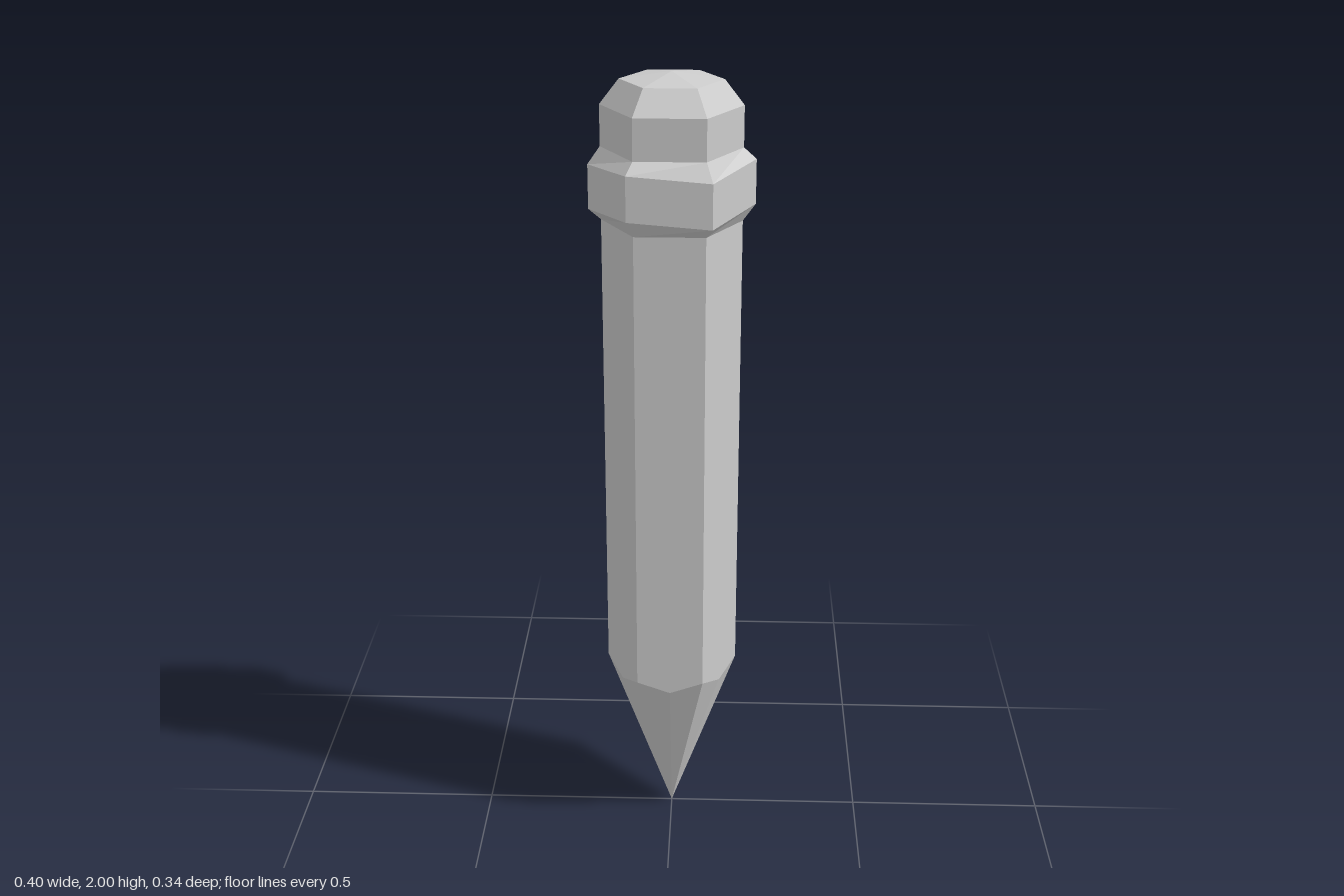
import * as THREE from 'three';

const material = new THREE.MeshStandardMaterial({ color: 0xcccccc, flatShading: true });

// A ring round a hexagon with corners on the x axis; wave lifts every other point.
// With 12 points, the odd ones sit halfway along the flat sides.
function ring(radius, y, count = 6, wave = 0) {
  return Array.from({ length: count }, (_, i) => {
    const onSide = count === 12 && i % 2 === 1;
    const r = onSide ? radius * Math.cos(Math.PI / 6) : radius;
    const a = (i / count) * Math.PI * 2;
    return [r * Math.cos(a), y + (i % 2 ? -wave : wave), r * Math.sin(a)];
  });
}

// Skin a list of rings from bottom to top
function loft(name, rings) {
  const n = rings[0].length;
  const index = [];
  for (let k = 0; k < rings.length - 1; k++) {
    for (let i = 0; i < n; i++) {
      const a = k * n + i;
      const b = k * n + ((i + 1) % n);
      index.push(a, a + n, b, b, a + n, b + n);
    }
  }
  const indexed = new THREE.BufferGeometry();
  indexed.setAttribute('position', new THREE.Float32BufferAttribute(rings.flat(2), 3));
  indexed.setIndex(index);
  const geometry = indexed.toNonIndexed();
  geometry.computeVertexNormals();
  const mesh = new THREE.Mesh(geometry, material);
  mesh.name = name;
  return mesh;
}

export function createModel() {
  const group = new THREE.Group();
  group.name = 'pencil';
  const R = 0.168;

  group.add(
    // Sharpened point, scalloped where it meets the flat sides
    loft('sharpenedTip', [ring(0, 0, 12), ring(R, 0.447, 12, 0.015)]),
    // Six-sided shaft
    loft('shaft', [ring(R, 0.447, 12, 0.015), ring(R, 1.65, 12)]),
    // Bulging collar with slightly uneven corners
    loft('collar', [
      ring(R, 1.65),
      ring(0.198, 1.683, 6, 0.008),
      ring(0.198, 1.79, 6, 0.008),
      ring(R, 1.825),
    ]),
    // Eraser with bevelled shoulder and shallow peak
    loft('eraser', [ring(R, 1.825), ring(R, 1.923), ring(0.122, 1.982), ring(0, 2)]),
  );
  return group;
}
